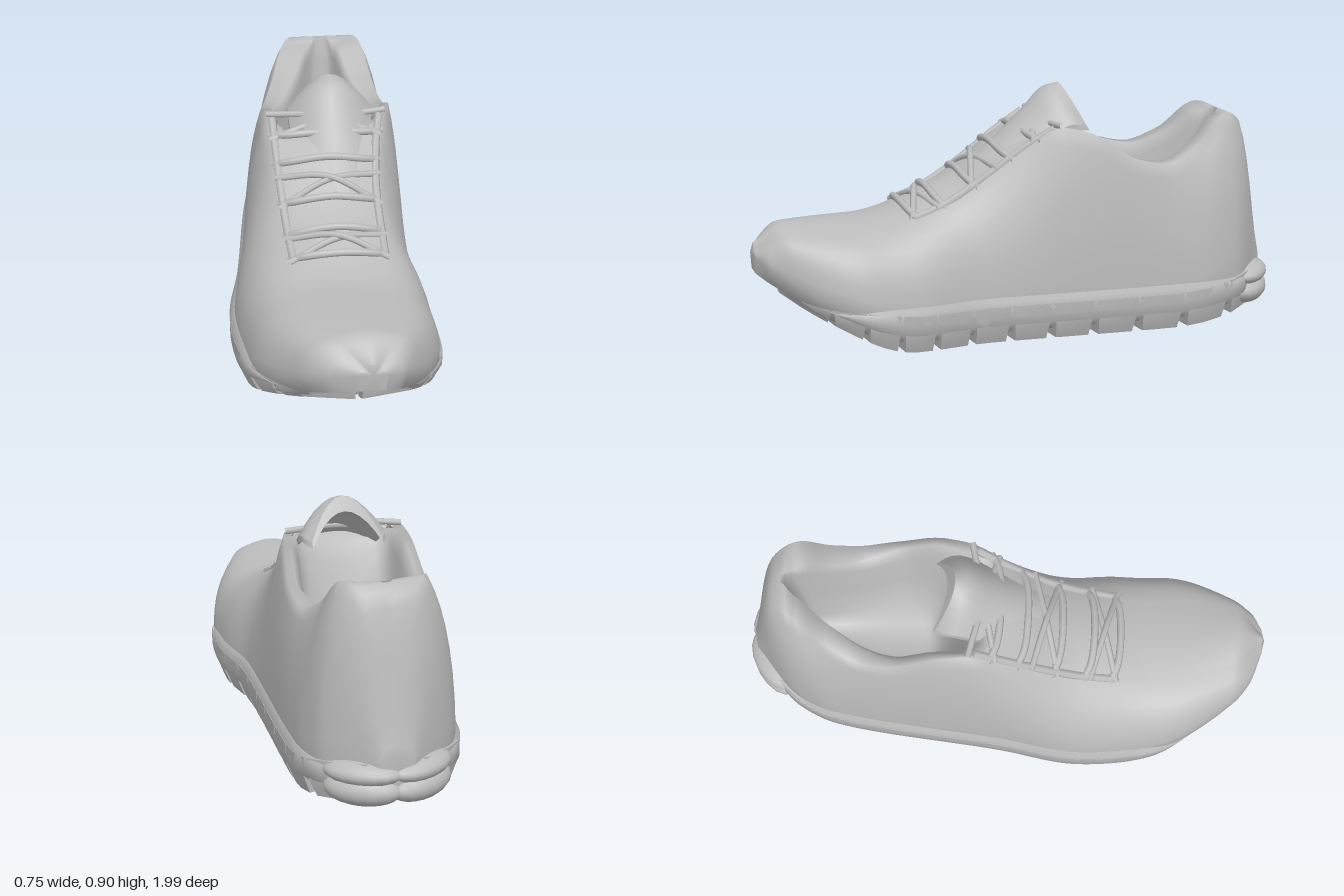
import * as THREE from 'three';

const { lerp, smoothstep, clamp } = THREE.MathUtils;

// Smooth curve through [z, value] points listed from toe to heel, without overshoot
function profile(P) {
  const last = P.length - 1;
  const slope = (k) => (P[k + 1][1] - P[k][1]) / (P[k + 1][0] - P[k][0]);
  const tangents = P.map((_, k) => {
    if (k === 0) return slope(0);
    if (k === last) return slope(last - 1);
    const a = slope(k - 1), b = slope(k);
    return a * b <= 0 ? 0 : (2 * a * b) / (a + b);
  });
  return (zIn) => {
    const z = clamp(zIn, P[last][0], P[0][0]);
    let i = 0;
    while (i < last - 1 && z < P[i + 1][0]) i++;
    const h = P[i + 1][0] - P[i][0], t = (z - P[i][0]) / h, u = 1 - t;
    return u * u * (1 + 2 * t) * P[i][1] + t * u * u * h * tangents[i]
      + t * t * (3 - 2 * t) * P[i + 1][1] - t * t * u * h * tangents[i + 1];
  };
}

// Outline of the base, outline and height of the top edge, and toe spring
const baseLeft = profile([[0.99, 0.02], [0.95, -0.09], [0.88, -0.17], [0.6, -0.32], [0.3, -0.355], [0, -0.31], [-0.64, -0.23], [-0.79, -0.17], [-0.965, 0.02]]);
const baseRight = profile([[0.99, 0.12], [0.95, 0.19], [0.6, 0.36], [0.45, 0.36], [0.18, 0.325], [-0.64, 0.35], [-0.79, 0.32], [-0.965, 0.15]]);
const underside = profile([[0.99, 0.28], [0.75, 0.14], [0.45, 0.045], [-0.52, 0.04], [-0.965, 0.1]]);
const rimLeft = profile([[0.99, 0.05], [0.88, -0.06], [0.6, -0.14], [-0.4, -0.2], [-0.71, -0.1], [-0.965, 0.08]]);
const rimRight = profile([[0.99, 0.09], [0.88, 0.17], [0.6, 0.2], [0.15, 0.2], [-0.4, 0.3], [-0.71, 0.245], [-0.965, 0.095]]);
const rimHeight = profile([[0.99, 0.36], [0.88, 0.425], [0.6, 0.42], [0.3, 0.5], [0, 0.7], [-0.12, 0.77], [-0.22, 0.75],
  [-0.4, 0.645], [-0.52, 0.62], [-0.64, 0.67], [-0.78, 0.785], [-0.85, 0.75], [-0.965, 0.26]]);

function stationAt(z) {
  const s = { xl: baseLeft(z), xr: baseRight(z), yb: underside(z), tl: rimLeft(z), tr: rimRight(z), ty: rimHeight(z) };
  // The top is crowned over toes and instep and drops to the insole in the opening, which narrows towards the heel
  s.open = smoothstep(-z, 0.02, 0.28) * (1 - smoothstep(-z, 0.73, 0.8));
  s.crown = lerp(0.05, 0.025, smoothstep(z, 0.3, 0.55)) * smoothstep(z, -0.15, 0.1);
  s.fy = lerp(s.ty + s.crown, 0.25, s.open);
  s.mouth = lerp(0.12, 1, Math.sqrt(clamp((z + 0.8) / 0.42, 0, 1)));
  s.base = (s.xl + s.xr) / 2;
  s.top = (s.tl + s.tr) / 2;
  return s;
}

// Skin closed anticlockwise rings running from front to back, capping both ends
function loft(zs, section) {
  const pos = [], idx = [], rings = zs.map(section), n = rings[0].length;
  rings.forEach((r, i) => r.forEach(([x, y]) => pos.push(x, y, zs[i])));
  for (let i = 0; i < zs.length - 1; i++) {
    for (let j = 0; j < n; j++) {
      const a = i * n + j, b = i * n + (j + 1) % n;
      idx.push(a, a + n, b, b, a + n, b + n);
    }
  }
  [0, zs.length - 1].forEach((i) => {
    const c = pos.length / 3, r = rings[i], front = i === 0;
    pos.push(r.reduce((t, p) => t + p[0], 0) / n, r.reduce((t, p) => t + p[1], 0) / n, zs[i] + (front ? 0.01 : -0.01));
    for (let j = 0; j < n; j++) {
      const a = i * n + j, b = i * n + (j + 1) % n;
      if (front) idx.push(c, a, b); else idx.push(c, b, a);
    }
  });
  const g = new THREE.BufferGeometry();
  g.setAttribute('position', new THREE.Float32BufferAttribute(pos, 3));
  g.setIndex(idx);
  g.computeVertexNormals();
  return g;
}

// Half a section of the upper: underside, wall, padded rim, lining
function upperHalf(z, s, x, top) {
  const k = 0.62 + 0.26 * smoothstep(z, 0.1, 0.6) + 0.22 * smoothstep(-z, 0.65, 0.9);
  const y0 = s.yb + 0.06, cy = lerp(y0, s.ty, k);
  const pts = [[lerp(s.base, x, 0.5), s.yb], [lerp(s.base, x, 0.9), s.yb]];
  for (let i = 0; i <= 8; i++) {
    const t = i / 8, u = 1 - t;
    pts.push([u * u * x + 2 * u * t * x + t * t * top, u * u * y0 + 2 * u * t * cy + t * t * s.ty]);
  }
  const lining = (across, down) => {
    const a = 1 - (1 - across) * s.mouth;
    pts.push([lerp(top, s.top, a), lerp(s.ty, s.fy, lerp(Math.sin(across * Math.PI / 2), down, s.open))]);
  };
  lining(0.12, 0);
  lining(0.23, 0.12);
  lining(0.28, 0.5);
  lining(0.42, 0.9);
  lining(0.7, 1);
  return pts;
}

function upperSection(z) {
  const s = stationAt(z);
  return [[s.base, s.yb], ...upperHalf(z, s, s.xr, s.tr), [s.top, s.fy], ...upperHalf(z, s, s.xl, s.tl).reverse()];
}

// Midsole band, sinking into the upper at the toe
function midsoleSection(z) {
  const s = stationAt(z), yt = Math.max(0.185, s.yb + 0.05), o = 0.016 - 0.036 * smoothstep(z, 0.55, 0.85);
  const half = (x, d) => [[x - d * 0.03, s.yb - 0.008], [x + d * o, s.yb + 0.03],
    [x + d * o, yt - 0.025], [x - d * 0.02, yt]];
  return [...half(s.xr, 1), ...half(s.xl, -1).reverse()];
}

// Tread block: a box bent to the sole outline, slanted towards the centre channel
function treadBlock(z0, z1, side) {
  const g = new THREE.BoxGeometry(1, 1, 1, 3, 2, 2), p = g.attributes.position;
  for (let i = 0; i < p.count; i++) {
    const out = p.getX(i) * side + 0.5, up = p.getY(i) + 0.5, along = p.getZ(i) * (0.82 + 0.18 * up);
    const z = (z0 + z1) / 2 + along * (z0 - z1) * 0.93, s = stationAt(z);
    const toe = smoothstep(z, 0.5, 0.85);
    const swell = 0.03 * Math.sin(Math.PI * (up * 0.6 + 0.2)) - 0.03 * (1 - up) - 0.035 * toe;
    const edge = (side > 0 ? s.xr : s.xl) + side * swell;
    const channel = s.base + side * (z0 < 0.3 ? 0.06 : 0.012);
    const bottom = Math.max(0, s.yb - lerp(0.04, 0.02, toe)) + 0.012 * (1 - out) * (1 - up);
    p.setXYZ(i, lerp(channel, edge, out), lerp(bottom, s.yb + lerp(0.1, 0.03, toe), up), z + 0.05 * (1 - out));
  }
  g.computeVertexNormals();
  return g;
}

// Arched padded slab following the instep
function tongueGeometry() {
  const path = new THREE.CatmullRomCurve3([[0.2, 0.565], [0.05, 0.69], [-0.05, 0.785], [-0.13, 0.865], [-0.185, 0.88]]
    .map(([z, y]) => new THREE.Vector3(0, y, z)));
  const g = new THREE.BoxGeometry(1, 1, 1, 10, 2, 14), p = g.attributes.position;
  for (let i = 0; i < p.count; i++) {
    const u = p.getX(i) * 2, t = 0.5 - p.getZ(i), q = path.getPoint(t);
    const half = lerp(0.13, 0.175, t) * (1 - 0.25 * Math.pow(t, 6));
    const lift = p.getY(i) * 0.05 * (1 - 0.6 * u * u);
    p.setXYZ(i, 0.045 + u * half, q.y + lift - u * u * lerp(0.03, 0.13, t), q.z + lift * 0.6 - u * u * 0.06 * t);
  }
  g.computeVertexNormals();
  return g;
}

export function createModel() {
  const model = new THREE.Group();
  const grey = new THREE.MeshStandardMaterial({ color: 0xbcbcbc });
  grey.name = 'grey';
  const add = (name, geometry) => {
    const m = new THREE.Mesh(geometry, grey);
    m.name = name;
    model.add(m);
    return m;
  };
  // Cord over the crowned instep: z, fraction across the top edge, lift above it
  const cord = (name, r, pts) => add(name, new THREE.TubeGeometry(new THREE.CatmullRomCurve3(pts.map(([z, f, lift]) => {
    const s = stationAt(z);
    return new THREE.Vector3(lerp(s.tl, s.tr, f), s.ty + lift + s.crown * Math.sin(Math.PI * f), z);
  })), 20, r, 7));

  // Upper and midsole, with stations packed closer at toe and heel
  const zs = Array.from({ length: 101 }, (_, i) => 0.0125 + 0.9775 * Math.cos((Math.PI * i) / 100));
  add('upper', loft(zs, upperSection));
  add('midsole', loft(zs.filter((z) => z < 0.9), midsoleSection));

  // Tread blocks, longer towards the heel
  const cut = (i) => 0.86 - 0.103 * i - 0.004 * i * i;
  for (let i = 0; i < 12; i++) {
    for (const side of [-1, 1]) add('treadBlock', treadBlock(cut(i), cut(i + 1), side));
  }

  // Rounded pods wrapping the back of the heel
  for (const side of [-1, 1]) {
    for (const [y, r] of [[0.155, 0.045], [0.095, 0.06]]) {
      const pod = add('heelPod', new THREE.SphereGeometry(1, 16, 12));
      pod.scale.set(0.14, r, 0.08);
      pod.position.set(0.085 + side * 0.1, y, -0.895);
      pod.rotation.y = -side * 0.55;
    }
  }

  // Tongue and eyelet edges
  add('tongue', tongueGeometry());
  for (const f of [0.04, 0.96]) cord('eyeletEdge', 0.016, [0.42, 0.3, 0.15, 0, -0.1].map((z) => [z, f, -0.004]));

  // Laces: straight bars with crossing strands between them
  const rows = [0.43, 0.33, 0.21, 0.08, -0.02];
  rows.forEach((z, i) => {
    cord('laceBar', 0.014, [[z - 0.03, 0, -0.015], [z, 0.14, 0.01], [z + 0.012, 0.5, 0.012],
      [z, 0.86, 0.01], [z - 0.03, 1, -0.015]]);
    if (i % 2) return;
    for (const flip of [0, 1]) {
      cord('laceCross', 0.012, [[z, flip, 0.005], [z - 0.05, 0.5, 0.005 + flip * 0.012], [z - 0.1, 1 - flip, 0.005]]);
    }
  });
  return model;
}
